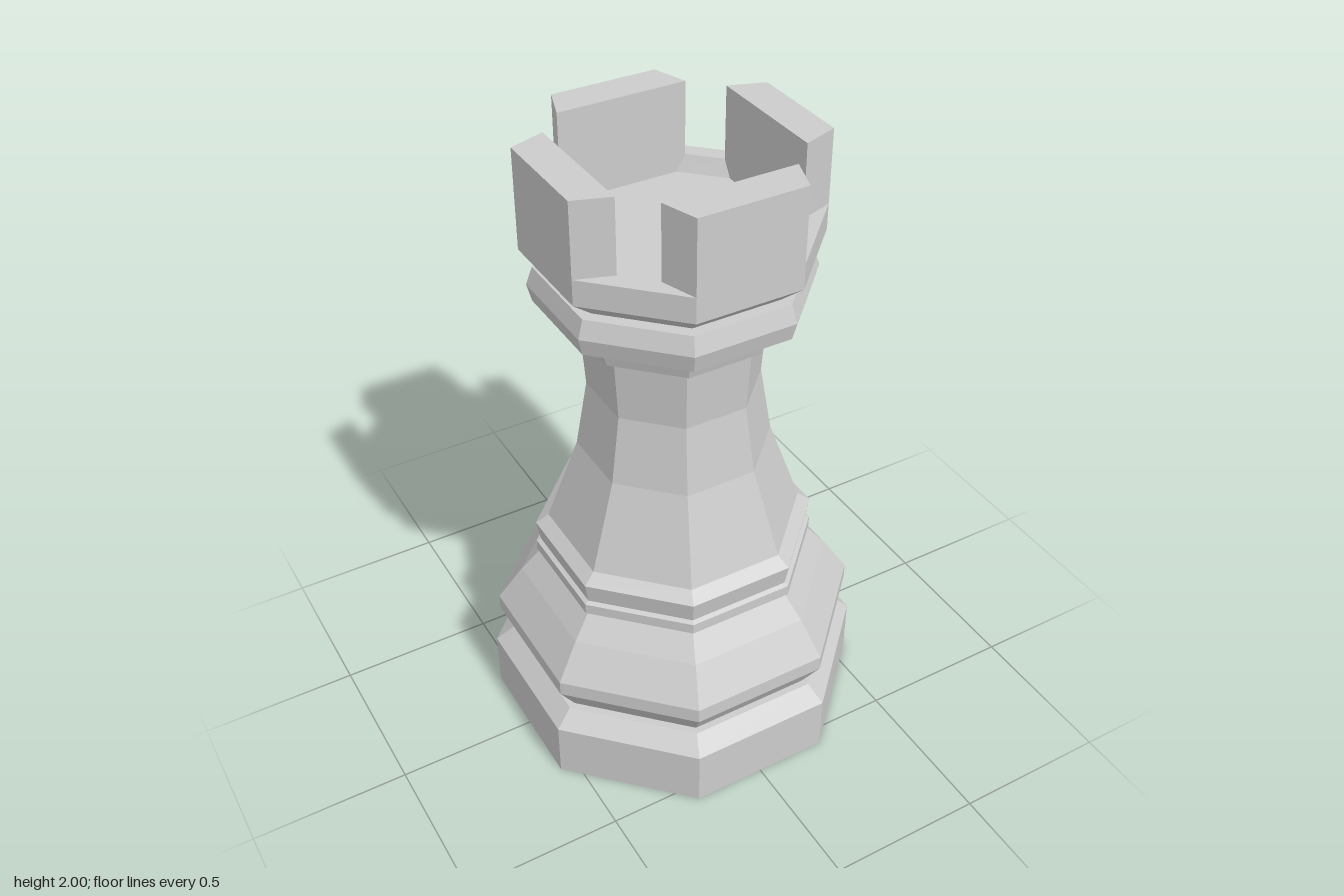
import * as THREE from 'three';

const T = Math.tan(Math.PI / 8);
const material = new THREE.MeshStandardMaterial({ color: 0xcccccc, flatShading: true });

// Eight corners of an octagon: flats at distance a, half flat length b (regular by default)
function ring([a, y, b = a * T]) {
  return [[a, b], [b, a], [-b, a], [-a, b], [-a, -b], [-b, -a], [b, -a], [a, -b]]
    .map(([x, z]) => [x, y, z]);
}

// Skin through a stack of octagons [flat distance, height, optional half flat length]
function octagonStack(name, profile) {
  const rings = profile.map(ring);
  const pos = [];
  for (let i = 0; i < rings.length - 1; i++) {
    const p = rings[i], q = rings[i + 1];
    for (let j = 0; j < 8; j++) {
      const k = (j + 1) % 8;
      if (profile[i][0] > 0) pos.push(...p[j], ...q[j], ...p[k]);
      if (profile[i + 1][0] > 0) pos.push(...p[k], ...q[j], ...q[k]);
    }
  }
  const geo = new THREE.BufferGeometry();
  geo.setAttribute('position', new THREE.Float32BufferAttribute(pos, 3));
  geo.computeVertexNormals();
  const mesh = new THREE.Mesh(geo, material);
  mesh.name = name;
  return mesh;
}

export function createModel() {
  const group = new THREE.Group();
  group.name = 'rook';

  // Foot and mouldings
  group.add(octagonStack('base', [[0, 0], [0.555, 0], [0.555, 0.19], [0.5, 0.24], [0.47, 0.24]]));
  group.add(octagonStack('lowerMoulding', [
    [0.47, 0.24], [0.478, 0.24], [0.535, 0.335], [0.535, 0.385], [0.46, 0.5], [0.4, 0.575],
  ]));
  group.add(octagonStack('beadRing', [
    [0.4, 0.575], [0.41, 0.58], [0.41, 0.615], [0.397, 0.622],
  ]));
  group.add(octagonStack('upperMoulding', [[0.397, 0.622], [0.408, 0.69], [0.37, 0.72]]));

  // Tapering shaft
  group.add(octagonStack('shaft', [[0.37, 0.72], [0.277, 1.0], [0.243, 1.22], [0.256, 1.43]]));

  // Collars beneath the tower head
  group.add(octagonStack('lowerCollar', [
    [0.256, 1.43], [0.285, 1.43], [0.296, 1.47], [0.28, 1.52],
  ]));
  group.add(octagonStack('upperCollar', [
    [0.28, 1.52], [0.375, 1.52], [0.388, 1.575], [0.37, 1.63], [0.335, 1.63],
  ]));

  // Tower head with its sunken floor
  group.add(octagonStack('towerHead', [
    [0.335, 1.63], [0.402, 1.69], [0.402, 1.77], [0.29, 1.77, 0.205], [0.29, 1.72, 0.175], [0, 1.72],
  ]));

  // Four battlements, wider on the inside
  const outline = new THREE.Shape([
    [-0.402 * T, 0.402], [-0.205, 0.29], [0.205, 0.29], [0.402 * T, 0.402],
  ].map(([x, y]) => new THREE.Vector2(x, y)));
  const block = new THREE.ExtrudeGeometry(outline, { depth: 0.23, bevelEnabled: false });
  block.rotateX(-Math.PI / 2).translate(0, 1.77, 0);
  for (let i = 0; i < 4; i++) {
    const mesh = new THREE.Mesh(block, material);
    mesh.name = 'battlement' + (i + 1);
    mesh.rotation.y = i * Math.PI / 2;
    group.add(mesh);
  }
  return group;
}
